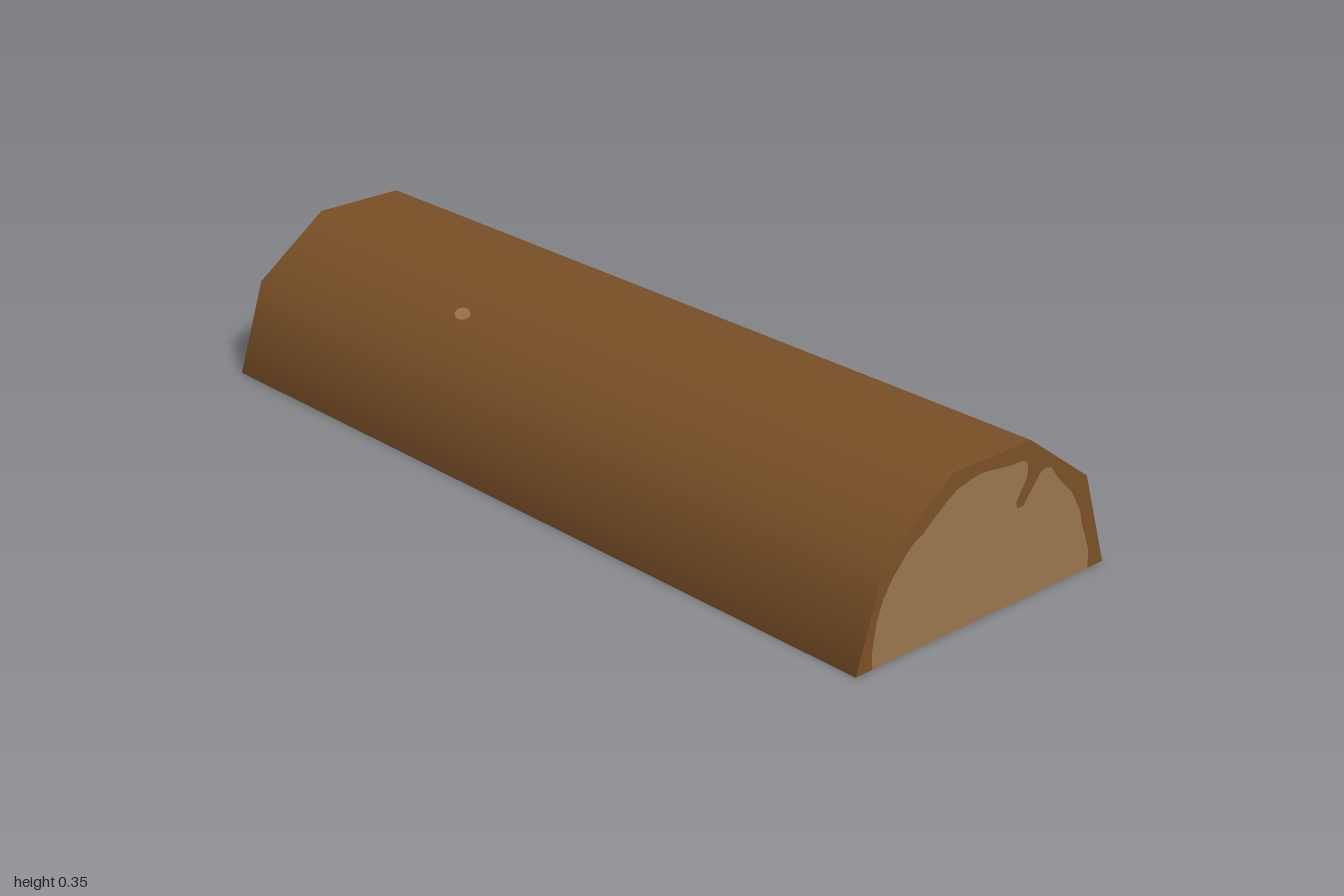
import * as THREE from 'three';

const R = 0.363, LENGTH = 2;

// Outline of the bare wood on a cut end: [u, y], u runs across the log
const WOOD_EDGE = [
  [-0.318, 0], [-0.32, 0.04], [-0.31, 0.1], [-0.295, 0.14], [-0.27, 0.178], [-0.235, 0.215],
  [-0.215, 0.232], [-0.19, 0.243], [-0.15, 0.274], [-0.1, 0.306], [-0.05, 0.317], [-0.03, 0.319],
  [0, 0.316], [0.05, 0.309], [0.095, 0.307], [0.107, 0.298], [0.108, 0.27], [0.078, 0.222],
  [0.082, 0.208], [0.1, 0.208], [0.13, 0.245], [0.15, 0.268], [0.165, 0.271], [0.182, 0.265],
  [0.2, 0.24], [0.25, 0.19], [0.28, 0.14], [0.287, 0.11], [0.3, 0.08], [0.315, 0.04], [0.316, 0],
];

// Slightly wavy borders of the wood on the flat underside: [x, distance from centre]
const UNDER_EDGE = [[-1, 0.312], [-0.9, 0.325], [-0.6, 0.318], [-0.2, 0.325], [0.1, 0.335], [0.5, 0.326], [1, 0.318]];

const shapeOf = (pts) =>
  new THREE.ShapeGeometry(new THREE.Shape(pts.map(([x, y]) => new THREE.Vector2(x, y))));

export function createModel() {
  const bark = new THREE.MeshStandardMaterial({ color: 0x7a5027 });
  bark.name = 'bark brown';
  const wood = new THREE.MeshStandardMaterial({ color: 0x9a754d });
  wood.name = 'bare wood tan';

  const log = new THREE.Group();
  log.name = 'halfLog';
  const add = (name, geometry, material) => {
    const mesh = new THREE.Mesh(geometry, material);
    mesh.name = name;
    log.add(mesh);
    return mesh;
  };

  // Rounded bark: half of a smooth-shaded ten-sided cylinder lying along x
  const mantle = new THREE.CylinderGeometry(R, R, LENGTH, 5, 1, true, 0, Math.PI);
  add('barkMantle', mantle.rotateZ(Math.PI / 2), bark);

  // Cut ends: wood face with a bark rim around it
  const arch = [];
  for (let i = 0; i <= 5; i++) {
    const a = (i * Math.PI) / 5;
    arch.push([R * Math.cos(a), R * Math.sin(a)]);
  }
  for (const side of [1, -1]) {
    const name = side > 0 ? 'left' : 'right';
    const place = (pts) =>
      shapeOf(pts.map(([u, y]) => [u * side, y]))
        .rotateY((side * Math.PI) / 2)
        .translate((side * LENGTH) / 2, 0, 0);
    add(name + 'EndWood', place(WOOD_EDGE), wood);
    add(name + 'EndBarkRim', place([...arch, ...WOOD_EDGE]), bark);
  }

  // Flat underside: wood between two bark strips
  const border = (s) => UNDER_EDGE.map(([x, w]) => [x, s * w]);
  const under = (pts) => shapeOf(pts).rotateX(Math.PI / 2);
  add('undersideWood', under([...border(-1), ...border(1).reverse()]), wood);
  for (const s of [1, -1]) {
    add(s > 0 ? 'frontBarkStrip' : 'backBarkStrip',
      under([[-1, s * R], [1, s * R], ...border(s).reverse()]), bark);
  }

  // Small bare patch on the front slope
  const tilt = Math.PI * 0.3, d = R * Math.cos(Math.PI / 10) + 0.002;
  const patch = add('barePatch', new THREE.CircleGeometry(1, 10).scale(0.024, 0.016, 1), wood);
  patch.rotation.x = -tilt;
  patch.position.set(-0.37, d * Math.sin(tilt) + 0.008, d * Math.cos(tilt) - 0.011);

  return log;
}
